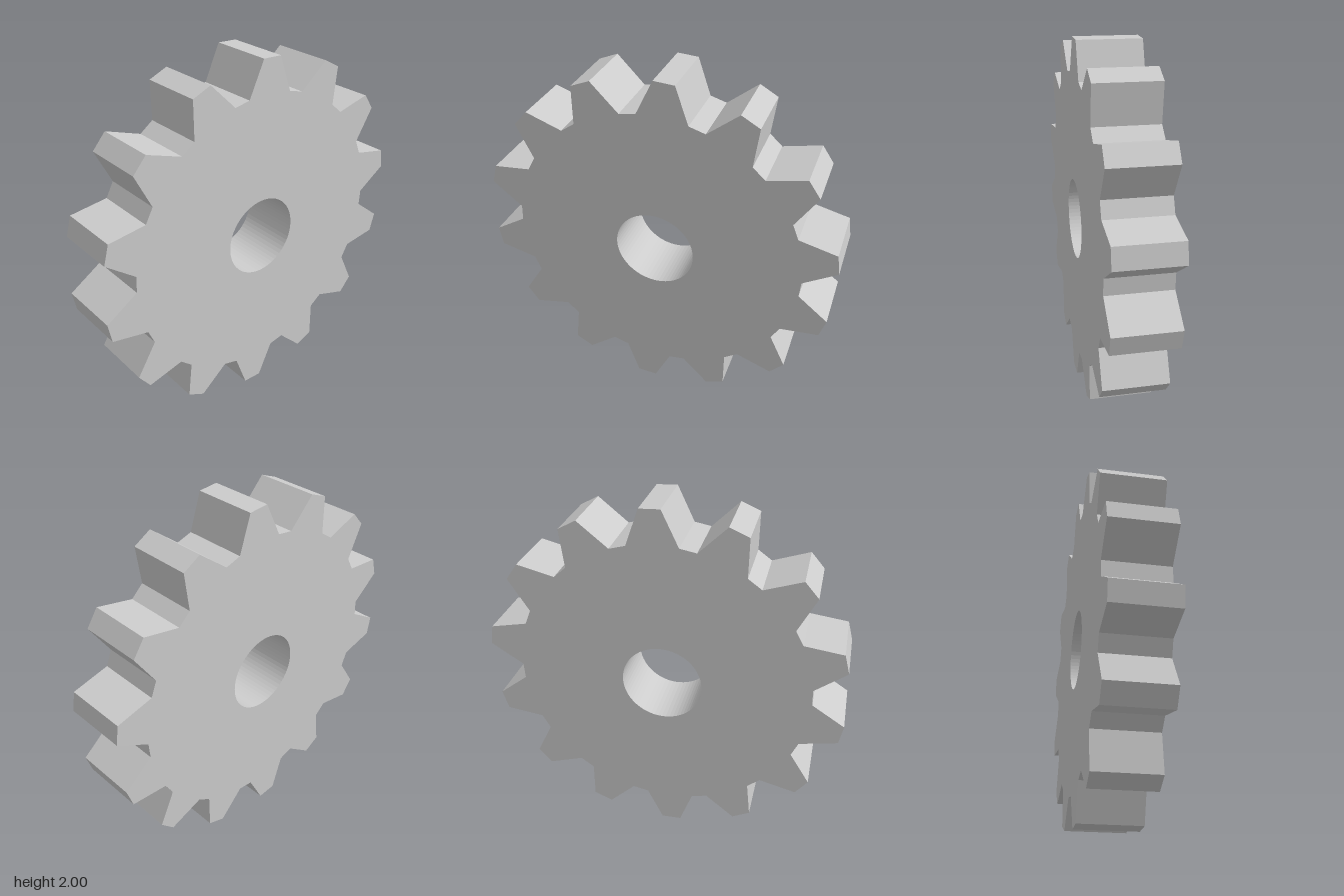
import * as THREE from 'three';

export function createModel() {
  const group = new THREE.Group();
  group.name = 'spurGear';

  const teeth = 14, tipRadius = 1, rootRadius = 0.815;
  const boreRadius = 0.222, thickness = 0.348;

  // Toothed outline: two tip corners, then two root corners, at equal angles
  const outline = [];
  const steps = teeth * 4;
  for (let i = 0; i < steps; i++) {
    const angle = Math.PI / 2 - (i / steps) * Math.PI * 2; // clockwise from the top
    const r = i % 4 < 2 ? tipRadius : rootRadius;
    outline.push(new THREE.Vector2(r * Math.cos(angle), r * Math.sin(angle)));
  }
  const shape = new THREE.Shape(outline);

  // Round bore through the centre
  const bore = new THREE.Path();
  bore.absarc(0, 0, boreRadius, 0, Math.PI * 2, false);
  shape.holes.push(bore);

  const geometry = new THREE.ExtrudeGeometry(shape, {
    depth: thickness,
    bevelEnabled: false,
    curveSegments: 32,
  });
  geometry.translate(0, tipRadius, -thickness / 2);

  const gear = new THREE.Mesh(
    geometry,
    new THREE.MeshStandardMaterial({ color: 0xcccccc, flatShading: true })
  );
  gear.name = 'toothedWheel';
  group.add(gear);
  return group;
}
